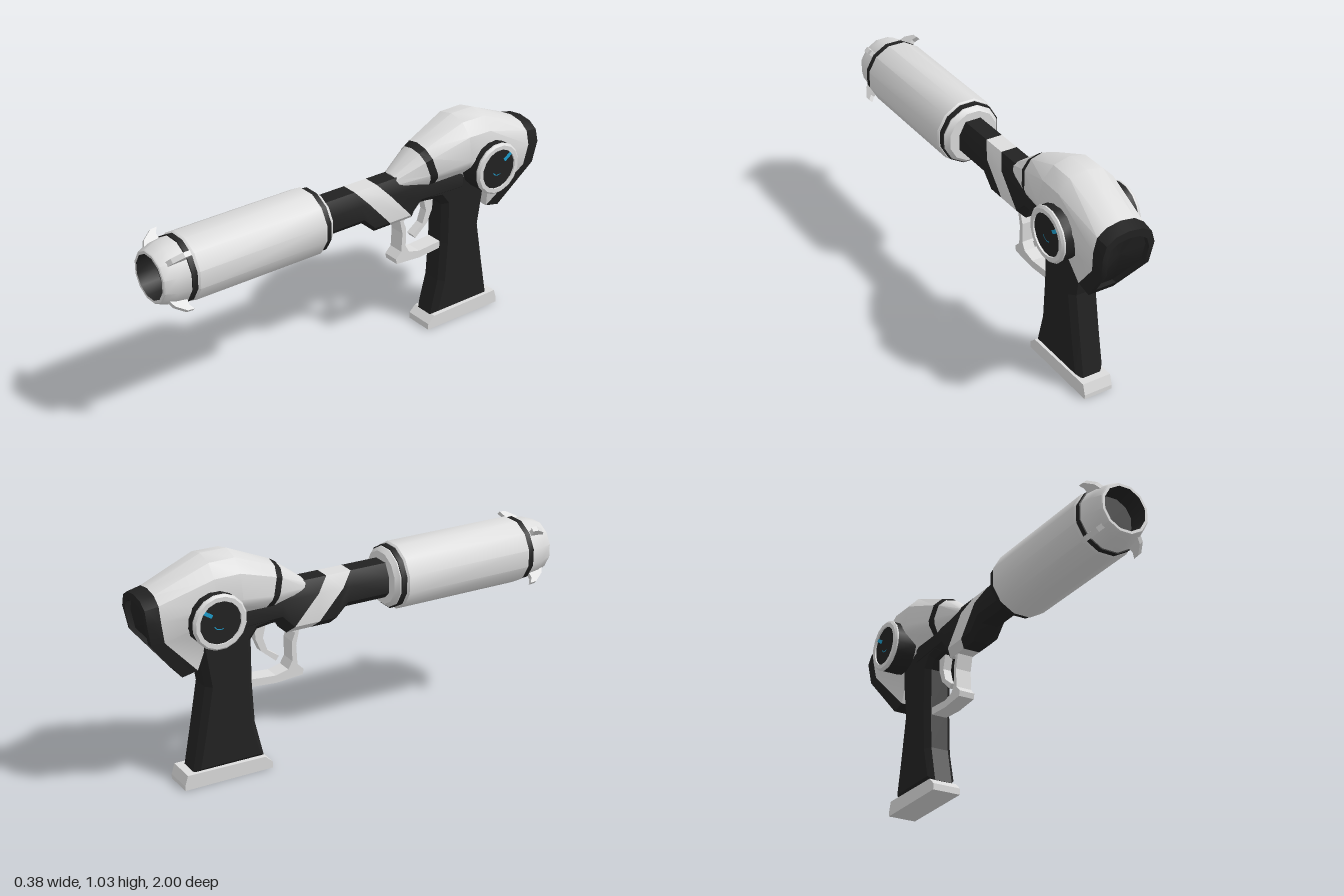
import * as THREE from 'three';
import { toCreasedNormals } from 'three/addons/utils/BufferGeometryUtils.js';

const mat = (name, color, side = THREE.FrontSide) => {
  const m = new THREE.MeshStandardMaterial({ color, side });
  m.name = name;
  return m;
};

export function createModel() {
  const white = mat('shell white', 0xdcdcdc);
  const black = mat('frame black', 0x222222);
  const cyan = mat('indicator cyan', 0x1c9ccc, THREE.DoubleSide);
  const model = new THREE.Group();

  const add = (name, geo, material, parent = model) => {
    const mesh = new THREE.Mesh(geo, material);
    mesh.name = name;
    parent.add(mesh);
    return mesh;
  };

  // Skin over closed loops of [x, y, z], listed front to back
  const loft = (loops, capFront = true, capBack = true) => {
    const pos = [];
    const tri = (...pts) => pts.forEach((p) => pos.push(...p));
    const n = loops[0].length;
    for (let s = 0; s < loops.length - 1; s++) {
      for (let i = 0; i < n; i++) {
        const j = (i + 1) % n, A = loops[s], B = loops[s + 1];
        tri(A[i], B[i], A[j]);
        tri(A[j], B[i], B[j]);
      }
    }
    const cap = (loop, back) => {
      const c = [0, 1, 2].map((k) => loop.reduce((sum, p) => sum + p[k], 0) / n);
      loop.forEach((p, i) => {
        const q = loop[(i + 1) % n];
        if (back) tri(c, q, p); else tri(c, p, q);
      });
    };
    if (capFront) cap(loops[0], false);
    if (capBack) cap(loops[loops.length - 1], true);
    const g = new THREE.BufferGeometry();
    g.setAttribute('position', new THREE.Float32BufferAttribute(pos, 3));
    return toCreasedNormals(g, 0.55);
  };

  // Mirror a half outline (bottom to top) and place each point at z(y)
  const loop = (half, z) => {
    const other = half.filter((p) => p[0] > 0).reverse().map(([x, y]) => [-x, y]);
    return [...half, ...other].map(([x, y]) => [x, y, z(y)]);
  };

  // Side outline of [z, y] points extruded across x
  const sidePlate = (pts, width, bevel = 0) => {
    const shape = new THREE.Shape(pts.map((p) => new THREE.Vector2(...p)));
    const depth = width - 2 * bevel;
    const g = new THREE.ExtrudeGeometry(shape, {
      depth, bevelEnabled: bevel > 0, bevelSize: bevel, bevelThickness: bevel,
      bevelOffset: -bevel, bevelSegments: 1,
    });
    return g.translate(0, 0, -depth / 2).rotateY(-Math.PI / 2);
  };

  const lathe = (pts, sides) => toCreasedNormals(
    new THREE.LatheGeometry(pts.map((p) => new THREE.Vector2(...p)), sides, Math.PI / sides), 0.55);

  // Barrel: [radius, z] profiles around the bore axis
  const barrel = new THREE.Group();
  barrel.name = 'barrel';
  barrel.position.y = 0.75;
  model.add(barrel);
  const turned = (name, pts, m) => add(name, lathe(pts, 12).rotateX(Math.PI / 2), m, barrel);
  turned('rearCollar', [[0, 0.165], [0.12, 0.165], [0.137, 0.185], [0.137, 0.195]], white);
  turned('rearBand', [[0.12, 0.19], [0.143, 0.19], [0.143, 0.225]], black);
  turned('barrelSleeve', [[0.13, 0.215], [0.146, 0.215], [0.152, 0.223], [0.152, 0.85], [0.146, 0.86], [0.13, 0.86]], white);
  turned('frontBand', [[0.146, 0.858], [0.147, 0.885], [0.13, 0.887]], black);
  turned('muzzle', [[0.13, 0.886], [0.142, 0.886], [0.134, 0.945], [0.116, 0.995], [0.112, 1], [0.1, 1]], white);
  turned('bore', [[0.1, 1], [0.096, 0.91], [0, 0.91]], black);

  // Four hooked fins around the muzzle
  for (let i = 0; i < 4; i++) {
    const fin = add('muzzleFin', sidePlate([[0.89, 0.12], [0.895, 0.16], [0.88, 0.185], [0.91, 0.183], [0.955, 0.15], [0.97, 0.12]], 0.022), white, barrel);
    fin.rotation.z = Math.PI / 4 + i * Math.PI / 2;
  }

  // Receiver: chamfered bar crossed by a slanted white stripe
  const bar = (z, slant, yB, yT = 0.83) => loop(
    [[0.04, yB], [0.07, yB + 0.03], [0.07, yT - 0.06], [0.038, yT]],
    (y) => z - slant * (yT - y));
  const stripeFront = bar(-0.01, 0.9, 0.61);
  const stripeBack = bar(-0.13, 0.9, 0.61);
  add('receiverFront', loft([bar(0.18, 0, 0.67), bar(0, 0.3, 0.67), bar(-0.005, 0.5, 0.61), stripeFront]), black);
  add('receiverStripe', loft([stripeFront, stripeBack], false, false), white);
  add('receiverRear', loft([stripeBack, bar(-0.36, 0, 0.67), bar(-0.6, 0, 0.66)]), black);

  // Rear shell: domed top over a narrowing underside
  const hull = (yT, w, m, yB, wb, z) => {
    const h = yT - m;
    return loop([
      [wb, yB], [wb + (w - wb) * 0.85, m - 0.35 * (m - yB)], [w, m],
      [0.87 * w, m + 0.6 * h], [0.52 * w, m + 0.9 * h], [0, yT],
    ], z);
  };
  const lean = (z) => (y) => z + (y - 0.76) * 0.28;
  const slope = (z, k) => (y) => z + Math.max(0, 0.74 - y) * k;
  const noseEnd = hull(0.925, 0.098, 0.82, 0.76, 0.07, lean(-0.4));
  const collarEnd = hull(0.945, 0.108, 0.82, 0.76, 0.07, lean(-0.435));
  const shellEnd = hull(0.925, 0.126, 0.82, 0.54, 0.06, slope(-0.94, 0.92));
  const capEnd = hull(0.91, 0.122, 0.82, 0.525, 0.06, slope(-1, 0.8));
  add('noseCone', loft([hull(0.835, 0.05, 0.8, 0.77, 0.04, () => -0.235), noseEnd]), white);
  add('noseBand', loft([noseEnd, collarEnd], false, false), black);
  add('rearShell', loft([
    collarEnd,
    hull(1.03, 0.146, 0.85, 0.76, 0.07, () => -0.58),
    hull(1.03, 0.15, 0.85, 0.68, 0.06, () => -0.7),
    shellEnd,
  ], false, false), white);

  // Rear cap with a recessed panel
  const inset = (dz) => capEnd.map(([x, y, z]) => {
    const y2 = 0.745 + (y - 0.745) * 0.8;
    return [x * 0.8, y2, slope(-1, 0.8)(y2) + dz];
  });
  add('rearCap', loft([shellEnd, capEnd, inset(0), inset(0.025)], false), black);

  // Grip, foot, guard and trigger
  add('grip', sidePlate([[-0.45, 0.06], [-0.79, 0.06], [-0.755, 0.25], [-0.72, 0.45], [-0.745, 0.62], [-0.75, 0.7],
    [-0.7, 0.76], [-0.4, 0.76], [-0.4, 0.67], [-0.47, 0.66], [-0.5, 0.62], [-0.5, 0.42], [-0.49, 0.23]], 0.135, 0.025), black);
  add('gripFoot', sidePlate([[-0.42, 0], [-0.42, 0.03], [-0.455, 0.062], [-0.825, 0.068], [-0.84, 0.02], [-0.84, 0]], 0.136), white);
  add('triggerGuard', sidePlate([[-0.26, 0.63], [-0.28, 0.54], [-0.275, 0.45], [-0.245, 0.42], [-0.25, 0.395], [-0.38, 0.385],
    [-0.51, 0.395], [-0.51, 0.43], [-0.38, 0.42], [-0.32, 0.435], [-0.3, 0.47], [-0.3, 0.56], [-0.285, 0.6], [-0.33, 0.63]], 0.076), white);
  add('trigger', sidePlate([[-0.41, 0.68], [-0.43, 0.6], [-0.41, 0.54], [-0.355, 0.5], [-0.37, 0.48],
    [-0.44, 0.54], [-0.465, 0.6], [-0.47, 0.68]], 0.04), white);

  // Side dials
  for (const s of [1, -1]) {
    const dial = new THREE.Group();
    dial.name = s > 0 ? 'leftDial' : 'rightDial';
    dial.position.set(0, 0.79, -0.705);
    model.add(dial);
    const disc = (name, pts, m) => add(name, lathe(pts, 16).rotateZ(-s * Math.PI / 2), m, dial);
    disc('dialHub', [[0.12, 0.08], [0.12, 0.174], [0.094, 0.174], [0.094, 0.182], [0, 0.182]], black);
    disc('dialRim', [[0.094, 0.174], [0.122, 0.174], [0.122, 0.181], [0.113, 0.19], [0.094, 0.19], [0.094, 0.174]], white);
    const mark = add('dialMark', new THREE.BoxGeometry(0.004, 0.016, 0.045), cyan, dial);
    mark.position.set(s * 0.183, 0.045, -0.055);
    mark.rotation.x = 0.6;
    const arc = add('dialArc', new THREE.RingGeometry(0.028, 0.032, 12, 1, 3.6, 1.6), cyan, dial);
    arc.position.x = s * 0.184;
    arc.rotation.y = s * Math.PI / 2;
  }

  return model;
}
